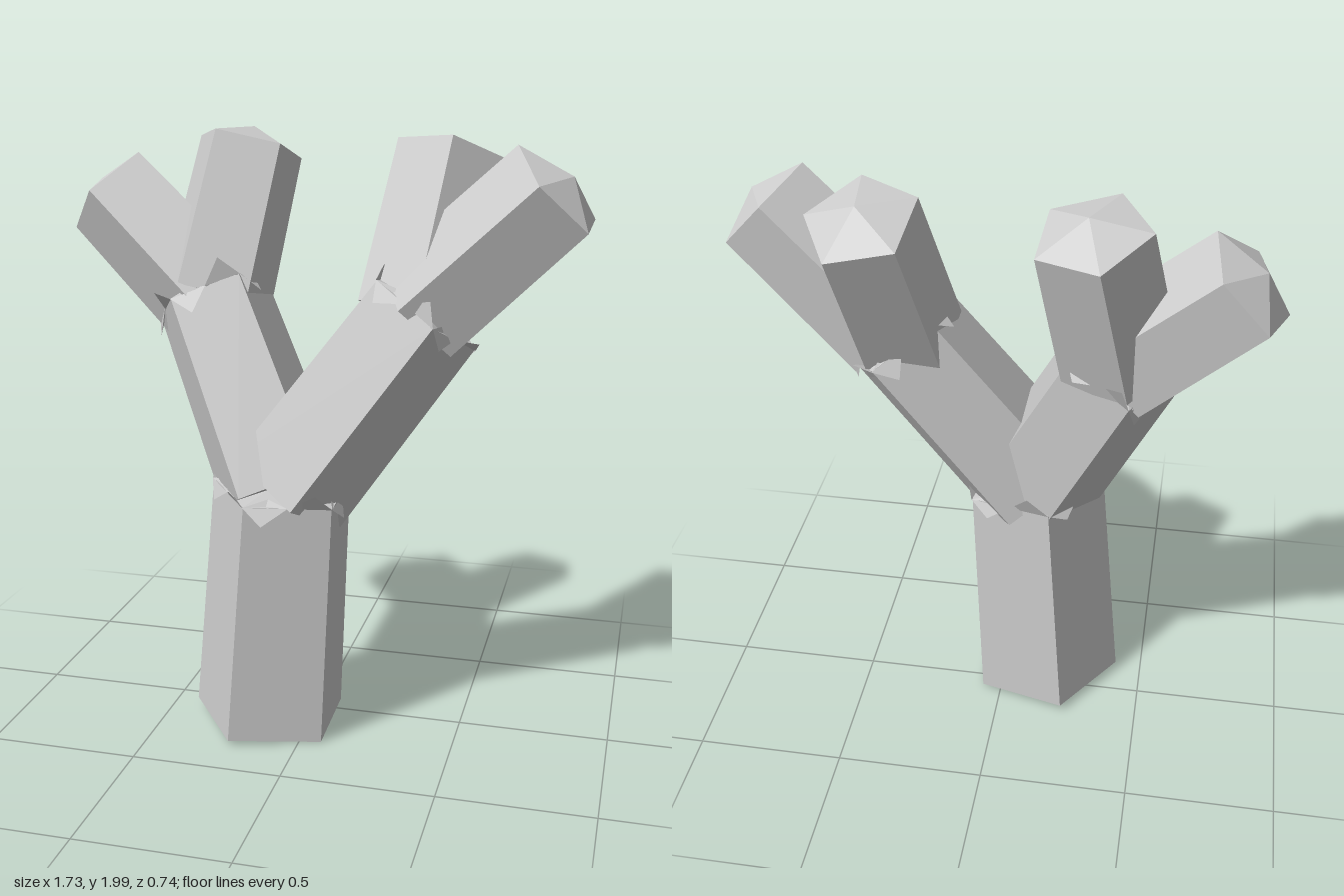
import * as THREE from 'three';

const V = (x, y, z) => new THREE.Vector3(x, y, z);

// Small seeded generator for the torn bark
let seed = 11;
const rand = () => (seed = (seed * 16807) % 2147483647) / 2147483647;

// Five-sided ring around the axis p0 -> p1, with a corner towards ref
function makeFrame(p0, p1, ref) {
  const d = p1.clone().sub(p0).normalize();
  const u = ref.clone().addScaledVector(d, -ref.dot(d)).normalize();
  const v = d.clone().cross(u);
  const corner = (c, r, i) => {
    const a = (i * Math.PI * 2) / 5;
    return c.clone().addScaledVector(u, r * Math.cos(a)).addScaledVector(v, r * Math.sin(a));
  };
  return { d, corner };
}

function meshFrom(name, points, material) {
  const g = new THREE.BufferGeometry().setFromPoints(points);
  g.computeVertexNormals();
  const m = new THREE.Mesh(g, material);
  m.name = name;
  return m;
}

// Tapered five-sided limb with a flat base and a pointed cap
function limb(name, { p0, p1, r0, r1, ref, cap }, material) {
  const { d, corner } = makeFrame(p0, p1, ref);
  const apex = p1.clone().addScaledVector(d, cap);
  const pts = [];
  for (let i = 0; i < 5; i++) {
    const a = corner(p0, r0, i), b = corner(p0, r0, i + 1);
    const e = corner(p1, r1, i), f = corner(p1, r1, i + 1);
    pts.push(a, b, f, a, f, e, e, f, apex, b, a, p0);
  }
  return meshFrom(name, pts, material);
}

// Ragged ring of little splinters around the end of a limb
function splinters(name, { p0, p1, r1, ref }, material) {
  const { d, corner } = makeFrame(p0, p1, ref);
  const pts = [];
  for (let i = 0; i < 5; i++) {
    const e = corner(p1, r1 * 1.02, i), f = corner(p1, r1 * 1.02, i + 1);
    for (let k = 0; k < 2; k++) {
      const a = e.clone().lerp(f, k / 2), b = e.clone().lerp(f, k / 2 + 0.5);
      const out = a.clone().add(b).multiplyScalar(0.5).sub(p1);
      const side = k ? 1 : -1;
      const tip = p1.clone().addScaledVector(out, 1.08 + 0.12 * rand())
        .addScaledVector(d, side * (0.03 + 0.05 * rand()));
      const root = p1.clone().addScaledVector(out, 0.85).addScaledVector(d, -side * 0.02);
      pts.push(a, b, tip, b, root, tip, root, a, tip);
    }
  }
  return meshFrom(name, pts, material);
}

export function createModel() {
  const group = new THREE.Group();
  group.name = 'branchingStump';
  const bark = new THREE.MeshStandardMaterial({ color: 0xcccccc, side: THREE.DoubleSide });
  bark.name = 'paleGrey';

  const fork = V(-0.09, 0.85, 0.115);
  const leftFork = V(0.35, 1.45, 0.03), rightFork = V(-0.385, 1.45, -0.055);

  // Trunk and two main branches, each ending in a splintered joint
  const joints = {
    trunk: { p0: V(-0.145, 0.027, 0.1), p1: fork, r0: 0.265, r1: 0.24, ref: V(-1, 0, 0.02), cap: 0.03 },
    leftBranch: { p0: V(-0.08, 0.86, 0.11), p1: leftFork, r0: 0.225, r1: 0.205, ref: V(0.82, -0.57, 0), cap: 0.04 },
    rightBranch: { p0: V(-0.1, 0.85, 0.11), p1: rightFork, r0: 0.22, r1: 0.2, ref: V(-0.9, -0.43, 0), cap: 0.04 },
  };
  for (const [name, spec] of Object.entries(joints)) {
    group.add(limb(name, spec, bark), splinters(name + 'Splinters', spec, bark));
  }

  // Four blunt twigs: start, end and one corner of the end ring
  const twigs = [
    ['leftOuterTwig', leftFork, V(0.76, 1.84, 0.072), V(0.645, 1.97, 0.08)],
    ['leftInnerTwig', V(0.325, 1.43, 0.03), V(0.39, 1.92, -0.19), V(0.42, 1.98, -0.02)],
    ['rightInnerTwig', V(-0.37, 1.45, -0.06), V(-0.287, 1.936, -0.205), V(-0.35, 1.99, -0.06)],
    ['rightOuterTwig', V(-0.385, 1.45, -0.07), V(-0.747, 1.78, -0.13), V(-0.865, 1.65, -0.07)],
  ];
  for (const [name, p0, p1, corner] of twigs) {
    const ref = corner.clone().sub(p1);
    group.add(limb(name, { p0, p1, r0: 0.195, r1: 0.182, ref, cap: 0.06 }, bark));
  }
  return group;
}
